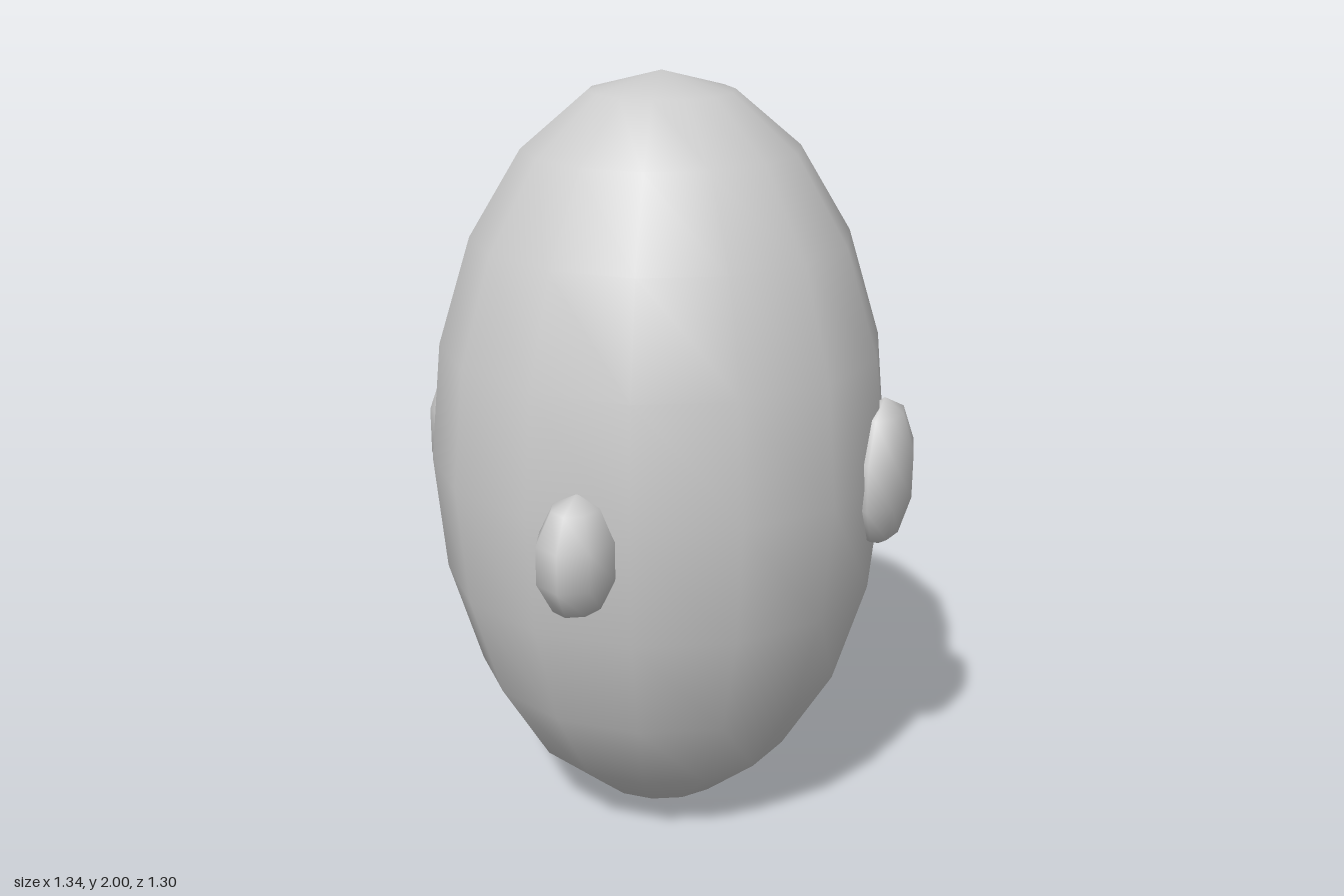
import * as THREE from 'three';

const material = new THREE.MeshStandardMaterial({ color: 0xcccccc });

// Smooth-shaded ellipsoid with low segment counts
function ellipsoid(name, radii, centre, around, rings) {
  const geometry = new THREE.SphereGeometry(1, around, rings);
  geometry.scale(...radii);
  const mesh = new THREE.Mesh(geometry, material);
  mesh.name = name;
  mesh.position.set(...centre);
  return mesh;
}

export function createModel() {
  const group = new THREE.Group();
  group.name = 'head';

  // Egg-shaped skull
  group.add(ellipsoid('skull', [0.604, 0.998, 0.6], [0, 1.002, -0.065], 14, 10));

  // Nose set into the front
  group.add(ellipsoid('nose', [0.102, 0.158, 0.132], [0, 0.926, 0.52], 8, 5));

  // Mirrored ears
  for (const side of [1, -1]) {
    const name = side > 0 ? 'leftEar' : 'rightEar';
    group.add(ellipsoid(name, [0.085, 0.2, 0.158], [side * 0.59, 1.003, -0.105], 8, 5));
  }
  return group;
}
